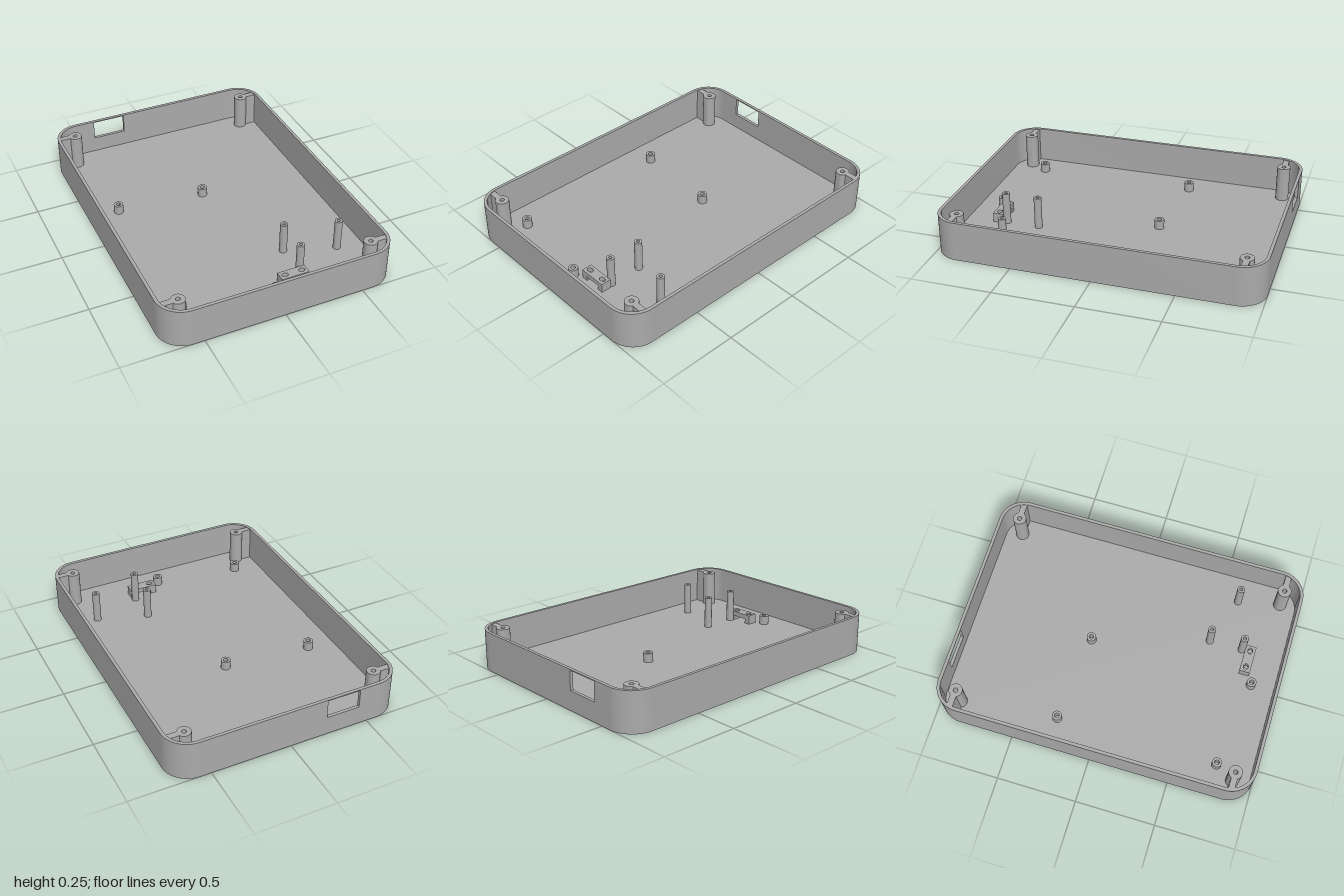
import * as THREE from 'three';
import { toCreasedNormals } from 'three/addons/utils/BufferGeometryUtils.js';

const grey = new THREE.MeshStandardMaterial({ color: 0xaaaaaa });
grey.name = 'grey plastic';

const W = 0.73, D = 1, H = 0.25, WALL = 0.02, FLOOR = 0.02, R = 0.16;
const SLOT = { x0: -0.44, x1: -0.228, y0: 0.122, y1: 0.243 };

export function createModel() {
  const model = new THREE.Group();
  model.name = 'enclosureBase';

  const add = (name, geometry, x = 0, y = 0, z = 0) => {
    const mesh = new THREE.Mesh(geometry, grey);
    mesh.name = name;
    mesh.position.set(x, y, z);
    model.add(mesh);
    return mesh;
  };

  // Box given by its limits
  const block = (name, x0, x1, y0, y1, z0, z1) =>
    add(name, new THREE.BoxGeometry(x1 - x0, y1 - y0, z1 - z0),
      (x0 + x1) / 2, (y0 + y1) / 2, (z0 + z1) / 2);

  // Plan outline extruded upwards (shape y points to the back)
  const extrudeUp = (shape, height) => {
    const g = new THREE.ExtrudeGeometry(shape, { depth: height, bevelEnabled: false, curveSegments: 16 });
    g.rotateX(-Math.PI / 2);
    return toCreasedNormals(g, 0.5);
  };

  // Rounded outline running clockwise from the slot's right edge to its left edge
  const outline = (inset) => {
    const path = new THREE.Path();
    const cx = W - R, cy = D - R, r = R - inset, q = Math.PI / 2;
    path.moveTo(SLOT.x1, D - inset);
    path.lineTo(cx, D - inset);
    path.absarc(cx, cy, r, q, 0, true);
    path.absarc(cx, -cy, r, 0, -q, true);
    path.absarc(-cx, -cy, r, -q, -2 * q, true);
    path.absarc(-cx, cy, r, 2 * q, q, true);
    path.lineTo(SLOT.x0, D - inset);
    return path.getPoints(16);
  };

  // Floor and the wall, with a port slot through the back
  add('floor', extrudeUp(new THREE.Shape(outline(0)), FLOOR));
  const wall = new THREE.Shape([...outline(0), ...outline(WALL).reverse()]);
  add('wall', extrudeUp(wall, H - FLOOR), 0, FLOOR, 0);
  block('slotSill', SLOT.x0, SLOT.x1, FLOOR, SLOT.y0, -D, -D + WALL);
  block('slotLintel', SLOT.x0, SLOT.x1, SLOT.y1, H, -D, -D + WALL);

  // Round post with a blind screw hole in its top
  const post = (name, x, z, radius, hole, top, depth) => {
    const profile = [[radius, FLOOR], [radius, top], [hole, top], [hole, top - depth], [0, top - depth]]
      .map(([a, b]) => new THREE.Vector2(a, b));
    add(name, toCreasedNormals(new THREE.LatheGeometry(profile, 28), 0.6), x, 0, z);
  };

  // Corner screw posts, each tied to the side wall by a rib
  for (const sx of [-1, 1]) {
    for (const sz of [-1, 1]) {
      post('cornerPost', sx * 0.605, sz * 0.877, 0.042, 0.014, 0.245, 0.18);
      add('cornerRib', new THREE.BoxGeometry(0.07, 0.245 - FLOOR, 0.038),
        sx * 0.677, (0.245 + FLOOR) / 2, sz * 0.879);
    }
  }

  // Short board standoffs
  for (const [x, z] of [[-0.536, -0.265], [0.021, -0.215], [-0.536, 0.759], [0.021, 0.833]])
    post('shortStandoff', x, z, 0.03, 0.0145, 0.078, 0.05);

  // Tall board standoffs
  for (const [x, z] of [[0.233, 0.509], [0.546, 0.613], [0.233, 0.719]])
    post('tallStandoff', x, z, 0.024, 0.01, 0.225, 0.1);

  // Cable clamp: a drilled bridge on two legs
  const bridge = new THREE.Shape([[-0.089, -0.033], [0.089, -0.033], [0.089, 0.033], [-0.089, 0.033]]
    .map(([a, b]) => new THREE.Vector2(a, b)));
  for (const s of [-1, 1]) {
    const hole = new THREE.Path();
    hole.absellipse(s * 0.055, 0, 0.021, 0.015, 0, Math.PI * 2, true);
    bridge.holes.push(hole);
  }
  add('clampBridge', extrudeUp(bridge, 0.03), 0.163, 0.05, 0.773);
  block('clampLeg', 0.074, 0.112, FLOOR, 0.05, 0.74, 0.806);
  block('clampLeg', 0.214, 0.252, FLOOR, 0.05, 0.74, 0.806);

  return model;
}
